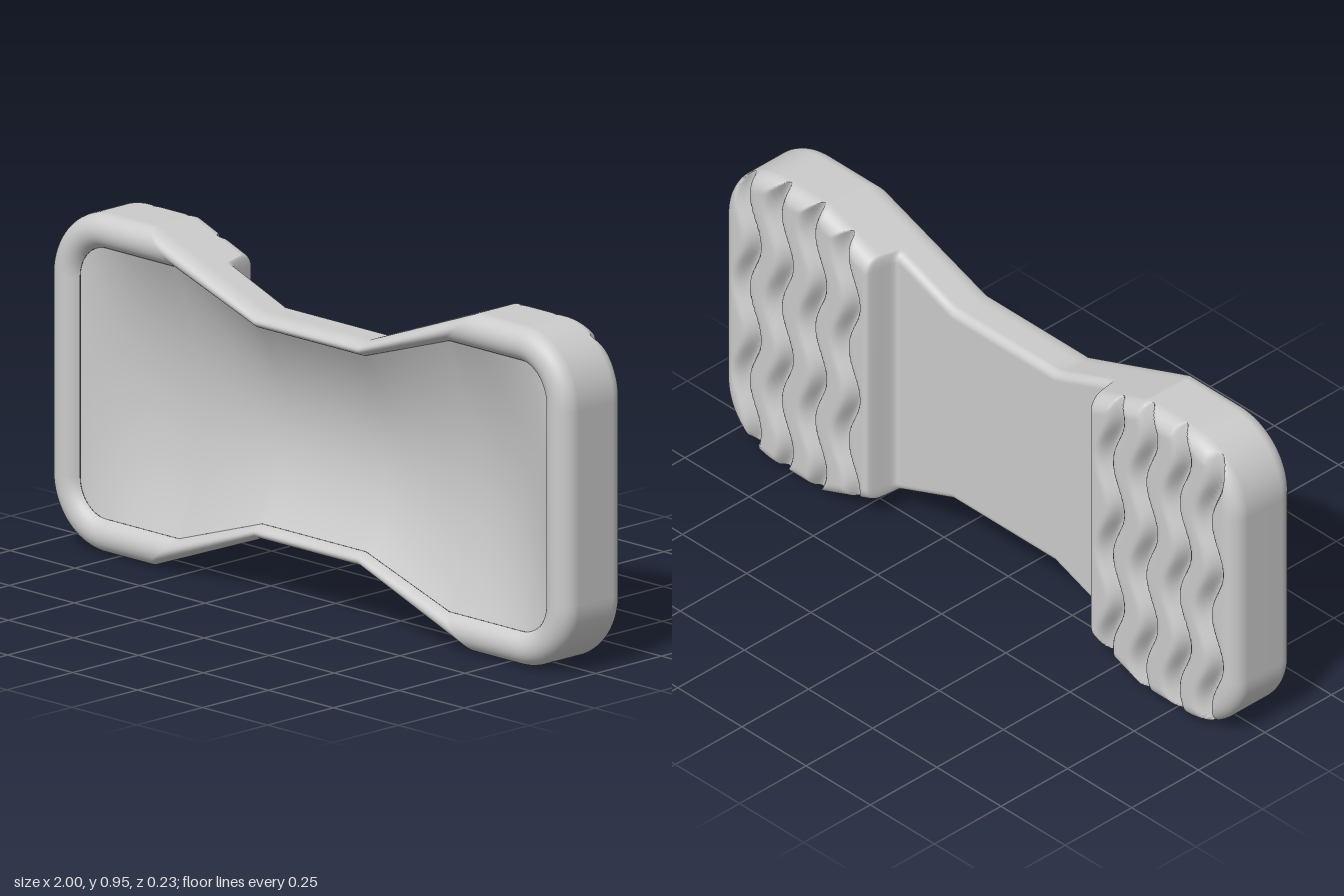
import * as THREE from 'three';
import { mergeGeometries, mergeVertices } from 'three/addons/utils/BufferGeometryUtils.js';

const MID = 0.475;      // height of the centre line
const ROWS = 120;

// Columns along x: outer position and half height (X, H), dish position and half height (x, h)
function makeColumns() {
  const knots = [ // X, H, x, h
    [0, 0.317, 0, 0.275], [0.2, 0.317, 0.2, 0.275],
    [0.62, 0.475, 0.52, 0.38], [0.8, 0.475, 0.8, 0.38],
  ];
  const spans = [[0, 0.2, 4], [0.2, 0.4, 6], [0.4, 0.42, 5], [0.42, 0.43, 2], [0.43, 0.45, 6], [0.45, 0.62, 24], [0.62, 0.8, 26]];
  const half = [];
  for (const [a, b, n] of spans) {
    for (let i = 0; i < n; i++) {
      const X = a + (b - a) * i / n;
      const k = X < 0.2 ? 0 : X < 0.62 ? 1 : 2;
      const t = (X - knots[k][0]) / (knots[k + 1][0] - knots[k][0]);
      const [, H, x, h] = knots[k].map((p, m) => p + (knots[k + 1][m] - p) * t);
      half.push({ X, H, x, h });
    }
  }
  // rounded corners
  for (let i = 0; i <= 30; i++) {
    const s = Math.sin(i / 30 * Math.PI / 2), c = Math.cos(i / 30 * Math.PI / 2);
    half.push({ X: 0.8 + 0.2 * s, H: 0.275 + 0.2 * c, x: 0.8 + 0.1 * s, h: 0.28 + 0.1 * c });
  }
  const mirrored = half.slice(1).reverse().map(p => ({ ...p, X: -p.X, x: -p.x }));
  return [...mirrored, ...half];
}

// Surface from a rule point(i, j); it faces along (i direction) x (j direction)
function surface(nu, nv, point) {
  const pos = [], index = [];
  for (let i = 0; i <= nu; i++) for (let j = 0; j <= nv; j++) pos.push(...point(i, j));
  for (let i = 0; i < nu; i++) {
    for (let j = 0; j < nv; j++) {
      const a = i * (nv + 1) + j, b = a + nv + 1;
      index.push(a, b, b + 1, a, b + 1, a + 1);
    }
  }
  const g = new THREE.BufferGeometry();
  g.setAttribute('position', new THREE.Float32BufferAttribute(pos, 3));
  g.setIndex(index);
  return g;
}

// Back level: thin waist, steep filleted step, end pads
function backLevel(X) {
  const q = Math.abs(X), r = 0.02;
  if (q <= 0.4) return -0.02;
  if (q < 0.42) return -0.02 - (r - Math.sqrt(r * r - (q - 0.4) ** 2));
  if (q < 0.43) return THREE.MathUtils.mapLinear(q, 0.42, 0.43, -0.04, -0.095);
  if (q < 0.45) return -0.095 - Math.sqrt(Math.max(0, r * r - (0.45 - q) ** 2));
  return -0.115;
}

// Rounding of the back edge: tight at the waist, fuller on the pads
const fillet = X => 0.025 + 0.025 * THREE.MathUtils.smoothstep(Math.abs(X), 0.4, 0.45);

// Distance from a back point to the outline
function edgeDistance(X, y, H) {
  const ax = Math.abs(X), ay = Math.abs(y);
  if (ax < 0.8) return H - ay;
  return ay > 0.275 ? 0.2 - Math.hypot(ax - 0.8, ay - 0.275) : 1 - ax;
}

// Back height with rounded edge and wavy tread grooves
function backZ(X, y, H) {
  const r = fillet(X);
  const d = THREE.MathUtils.clamp(edgeDistance(X, y, H), 0, r);
  const round = r - Math.sqrt(r ** 2 - (r - d) ** 2);
  let groove = 0;
  for (const c of [0.515, 0.645, 0.775, 0.9]) {
    const off = Math.abs(X) - c - 0.022 * Math.sin(y * Math.PI * 2 / 0.31);
    groove += 0.045 * Math.exp(-((off / 0.02) ** 2));
  }
  return backLevel(X) + Math.max(round, groove);
}

export function createModel() {
  const group = new THREE.Group();
  const material = new THREE.MeshStandardMaterial({ color: 0xcccccc, roughness: 0.8 });
  const cols = makeColumns();
  const N = cols.length - 1;
  const rowV = j => Math.sin((j / ROWS - 0.5) * Math.PI);

  // Back with treaded pads
  const back = surface(N, ROWS, (i, j) => {
    const { X, H } = cols[i];
    const y = -rowV(j) * H;
    return [X, MID + y, backZ(X, y, H)];
  });

  // Outline loop, counterclockwise from the front
  const loop = [];
  for (let i = 0; i < N; i++) loop.push([cols[i], -1]);
  for (let j = 0; j < ROWS; j++) loop.push([cols[N], rowV(j)]);
  for (let i = N; i > 0; i--) loop.push([cols[i], 1]);
  for (let j = ROWS; j >= 0; j--) loop.push([cols[0], rowV(j)]);

  // Side wall and rounded front rim
  const ARC = 16, END = Math.PI * 0.88;
  const rim = surface(loop.length - 1, ARC + 1, (i, j) => {
    const [c, v] = loop[i];
    if (j === 0) return [c.X, MID + v * c.H, backLevel(c.X) + fillet(c.X)];
    const a = (j - 1) / ARC * END;
    const t = (1 - Math.cos(a)) / (1 - Math.cos(END));
    return [
      THREE.MathUtils.lerp(c.X, c.x, t),
      MID + v * THREE.MathUtils.lerp(c.H, c.h, t),
      0.064 + 0.05 * Math.sin(a),
    ];
  });
  const shell = mergeVertices(mergeGeometries([back, rim]), 1e-5);
  shell.computeVertexNormals();
  const body = new THREE.Mesh(shell, material);
  body.name = 'treadedBodyAndRim';
  group.add(body);

  // Hollow front dish: a shallow trough along x, rising softly to the rim at both ends
  const dishGeometry = surface(N, 40, (i, j) => {
    const { x, h } = cols[i];
    const v = j / 20 - 1;
    const s = Math.min((0.9 - Math.abs(x)) / 0.35, 1);
    const fade = 1 - (1 - s) ** 2;
    return [x, MID + v * h, 0.082 - 0.082 * fade * (1 - v * v)];
  });
  dishGeometry.computeVertexNormals();
  const dish = new THREE.Mesh(dishGeometry, material);
  dish.name = 'frontDish';
  group.add(dish);

  return group;
}
